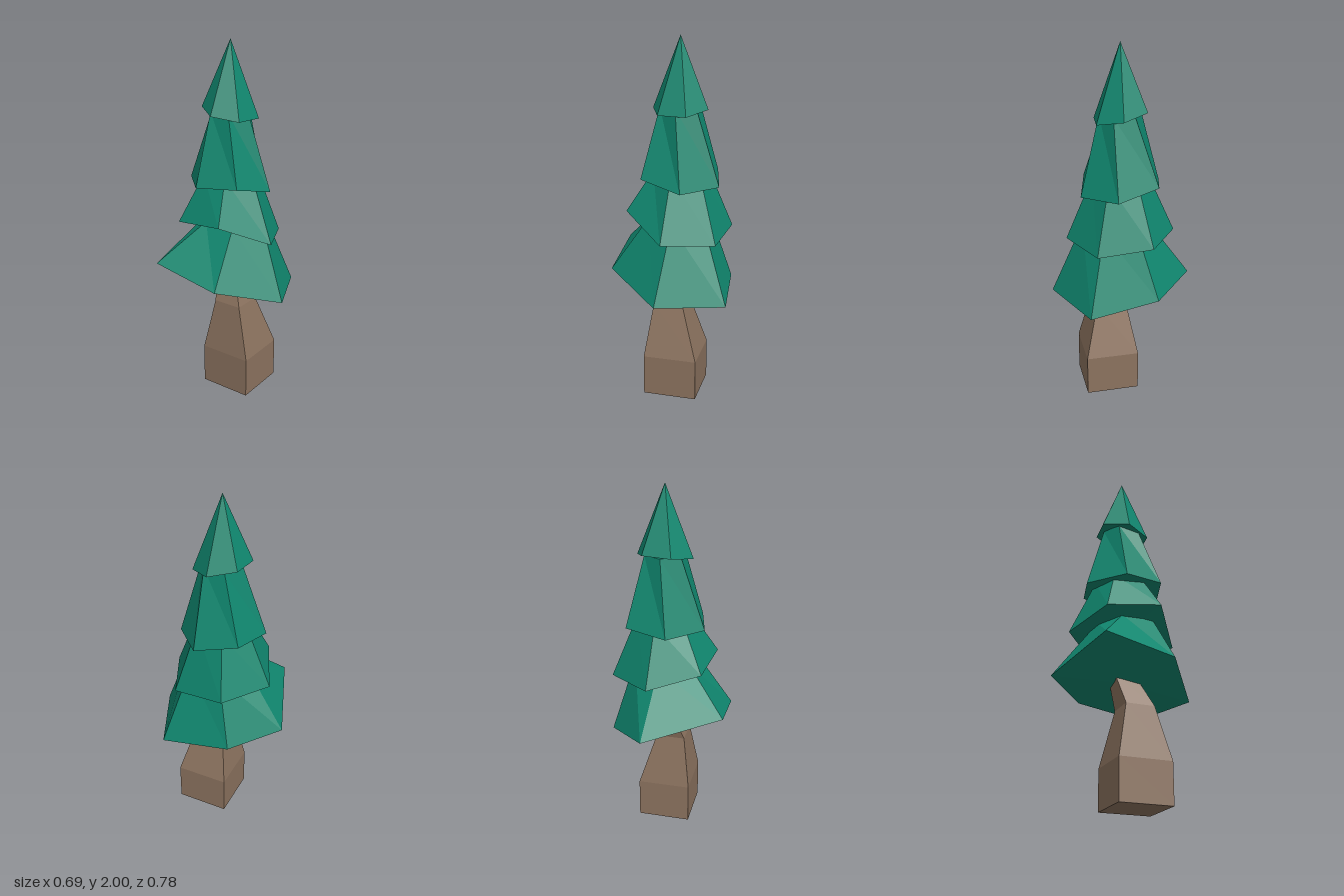
import * as THREE from 'three';

const green = new THREE.MeshStandardMaterial({ color: 0x10876f, flatShading: true });
const brown = new THREE.MeshStandardMaterial({ color: 0x8c735f, flatShading: true });

// Regular ring of n points around (cx, y, cz), starting at an angle in degrees
function regularRing(n, cx, y, cz, r, startDeg) {
  return Array.from({ length: n }, (_, i) => {
    const a = THREE.MathUtils.degToRad(startDeg + (i * 360) / n);
    return [cx + r * Math.cos(a), y, cz + r * Math.sin(a)];
  });
}

// Rectangular ring in the same winding order
const boxRing = (y, x0, x1, z0, z1) => [[x1, y, z1], [x0, y, z1], [x0, y, z0], [x1, y, z0]];

const centre = (ring) => [0, 1, 2].map((k) => ring.reduce((s, p) => s + p[k], 0) / ring.length);

// Closed faceted solid through rings listed from bottom to top
function loft(name, rings, material) {
  const pos = [];
  const tri = (a, b, c) => pos.push(...a, ...b, ...c);
  const n = rings[0].length;
  const low = rings[0], high = rings[rings.length - 1];
  const lowMid = centre(low), highMid = centre(high);
  for (let i = 0; i < n; i++) {
    const j = (i + 1) % n;
    for (let k = 0; k < rings.length - 1; k++) {
      const b = rings[k], t = rings[k + 1];
      tri(b[i], t[i], t[j]);
      tri(b[i], t[j], b[j]);
    }
    tri(lowMid, low[i], low[j]);
    tri(highMid, high[j], high[i]);
  }
  const geometry = new THREE.BufferGeometry();
  geometry.setAttribute('position', new THREE.Float32BufferAttribute(pos, 3));
  geometry.computeVertexNormals();
  const mesh = new THREE.Mesh(geometry, material);
  mesh.name = name;
  return mesh;
}

export function createModel() {
  const tree = new THREE.Group();
  tree.name = 'pineTree';

  // Square trunk: straight foot, tapering and leaning into the foliage
  tree.add(loft('trunk', [
    boxRing(0, -0.125, 0.175, -0.075, 0.225),
    boxRing(0.23, -0.125, 0.175, -0.075, 0.225),
    boxRing(0.53, -0.085, 0.08, -0.02, 0.145),
    boxRing(0.7, -0.02, 0.08, -0.055, 0.07),
  ], brown));

  // Foliage tiers: uneven six-sided rim below, regular ring hidden in the next tier
  const tiers = [
    {
      name: 'bottomFoliage',
      rim: [[0.342, 0.585, 0.23], [-0.017, 0.605, 0.387], [-0.33, 0.72, 0.155],
        [-0.343, 0.8, -0.233], [0.077, 0.685, -0.39], [0.3, 0.63, -0.157]],
      top: regularRing(6, 0.035, 1.02, 0.035, 0.18, 30),
    },
    {
      name: 'lowerFoliage',
      rim: [[0.27, 0.91, 0.177], [-0.005, 0.925, 0.3], [-0.247, 1.055, 0.122],
        [-0.21, 1.02, -0.177], [0.067, 0.955, -0.3], [0.305, 0.947, -0.122]],
      top: regularRing(6, 0.035, 1.28, 0, 0.155, 36),
    },
    {
      name: 'upperFoliage',
      rim: [[0.262, 1.205, 0.06], [0.085, 1.193, 0.23], [-0.148, 1.25, 0.17],
        [-0.203, 1.235, -0.06], [-0.025, 1.23, -0.233], [0.207, 1.255, -0.173]],
      top: regularRing(6, 0.03, 1.63, 0, 0.115, 30),
    },
    {
      name: 'topFoliage',
      rim: [[0.188, 1.615, 0.015], [0.095, 1.587, 0.142], [-0.065, 1.59, 0.125],
        [-0.128, 1.615, -0.015], [-0.035, 1.64, -0.143], [0.125, 1.645, -0.127]],
      top: regularRing(6, 0.03, 2, 0, 0.0005, 5),
    },
  ];
  for (const { name, rim, top } of tiers) tree.add(loft(name, [rim, top], green));

  return tree;
}
